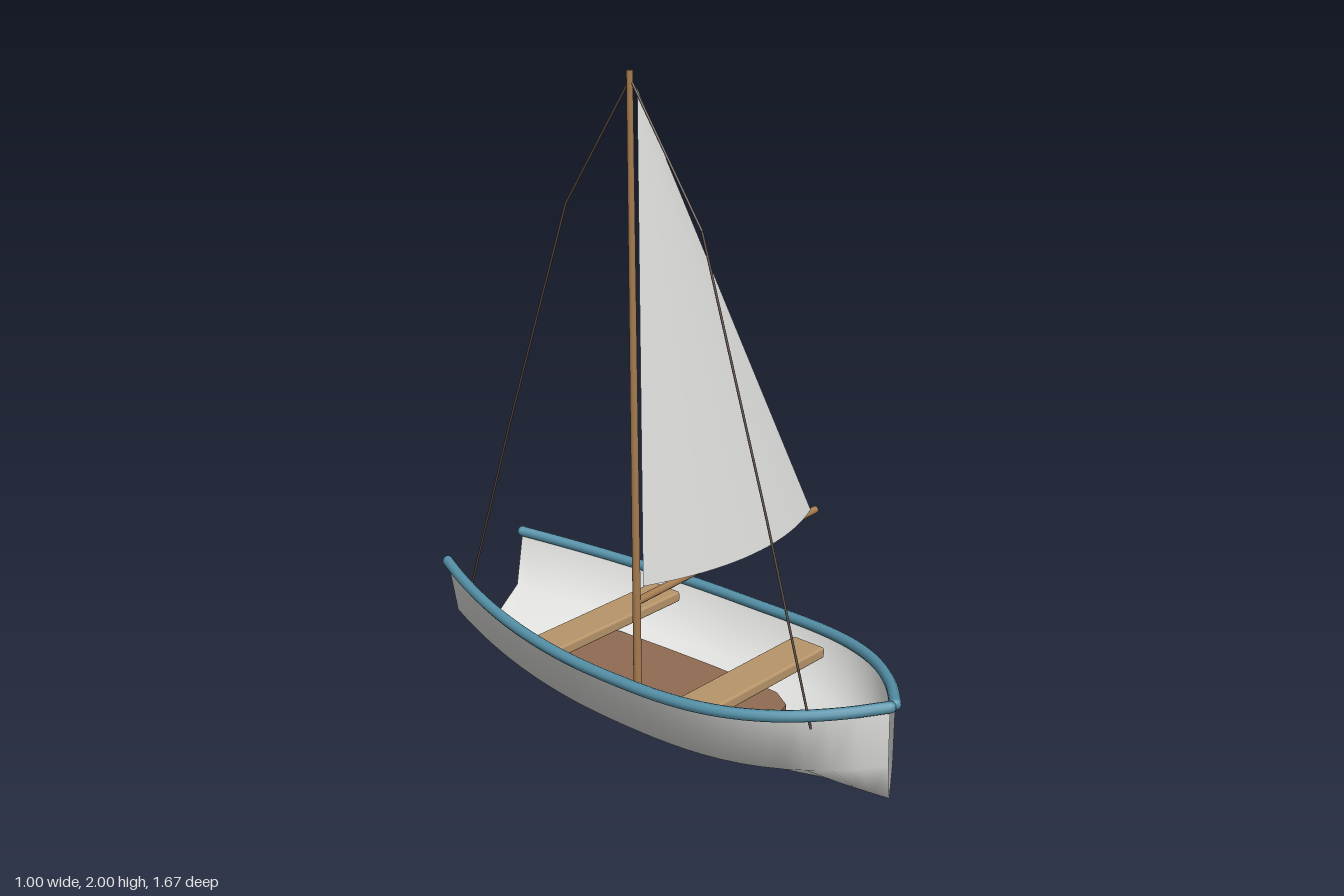
import * as THREE from 'three';
import { RoundedBoxGeometry } from 'three/addons/geometries/RoundedBoxGeometry.js';

const HULL_X = -0.16, LENGTH = 0.82;
const V = (x, y, z) => new THREE.Vector3(x, y, z);
// Sheer and keel rise alike towards both ends
const lift = z => 0.05 * (z / LENGTH) ** 2;
// Half width at the rim: pointed bow, broad stern
const halfWidth = z => z < 0
  ? 0.325 - 0.24 * z * z
  : 0.012 + 0.313 * (1 - (z / LENGTH) ** 3.4);

// Grid of points from f(u, v) as a smooth surface
function surface(nu, nv, f) {
  const pos = [], index = [];
  for (let i = 0; i <= nu; i++) {
    for (let j = 0; j <= nv; j++) {
      pos.push(...f(i / nu, j / nv));
      if (i < nu && j < nv) {
        const a = i * (nv + 1) + j, b = a + nv + 1;
        index.push(a, b, a + 1, b, b + 1, a + 1);
      }
    }
  }
  const g = new THREE.BufferGeometry();
  g.setAttribute('position', new THREE.Float32BufferAttribute(pos, 3));
  g.setIndex(index);
  g.computeVertexNormals();
  return g;
}

// Straight round pole between two points
function pole(a, b, r0, r1) {
  const d = b.clone().sub(a);
  const g = new THREE.CylinderGeometry(r1, r0, d.length(), 12);
  g.applyQuaternion(new THREE.Quaternion().setFromUnitVectors(V(0, 1, 0), d.normalize()));
  const m = a.clone().add(b).multiplyScalar(0.5);
  return g.translate(m.x, m.y, m.z);
}

export function createModel() {
  const group = new THREE.Group();
  const material = (name, color, side = THREE.FrontSide) =>
    new THREE.MeshStandardMaterial({ name, color, side });
  const hullWhite = material('hull white', 0xf0f0ee, THREE.DoubleSide);
  const sailCloth = material('sail cloth', 0xe8e8e6, THREE.DoubleSide);
  const rimBlue = material('rim blue', 0x5591a8);
  const benchWood = material('bench wood', 0xb8956a);
  const floorWood = material('floor wood', 0x916b52);
  const sparWood = material('spar wood', 0xa67c50);
  const rope = material('rope', 0x574a40);
  const add = (name, geometry, mat) => {
    const mesh = new THREE.Mesh(geometry, mat);
    mesh.name = name;
    group.add(mesh);
    return mesh;
  };

  // Open hull: rim, chine, keel, chine, rim swept along z
  const section = [[-1, 0.293], [-0.8, 0.11], [0, 0.005], [0.8, 0.11], [1, 0.293]];
  add('hull', surface(28, 4, (u, v) => {
    const z = (u * 2 - 1) * LENGTH;
    const [sx, y] = section[Math.round(v * 4)];
    return [HULL_X + sx * halfWidth(z), y + lift(z), z];
  }), hullWhite);

  // Gunwales with closed ends
  for (const s of [1, -1]) {
    const pts = [];
    for (let i = 0; i <= 20; i++) {
      const z = (i / 10 - 1) * LENGTH;
      pts.push(V(HULL_X + s * halfWidth(z), 0.293 + lift(z), z));
    }
    const name = s > 0 ? 'leftGunwale' : 'rightGunwale';
    add(name, new THREE.TubeGeometry(new THREE.CatmullRomCurve3(pts), 60, 0.017, 10), rimBlue);
    for (const p of [pts[0], pts[20]]) {
      add(name + 'End', new THREE.SphereGeometry(0.017, 10, 8), rimBlue).position.copy(p);
    }
  }

  // Floor board, half outline mirrored
  const half = [[0.115, -0.505], [0.138, -0.495], [0.165, -0.43], [0.178, -0.38], [0.188, -0.2],
    [0.195, 0], [0.195, 0.15], [0.191, 0.26], [0.15, 0.33], [0.12, 0.34]];
  const outline = [...half, ...half.map(([x, z]) => [-x, z]).reverse()];
  const floor = new THREE.ExtrudeGeometry(
    new THREE.Shape(outline.map(([x, z]) => new THREE.Vector2(x, z))),
    { depth: 0.025, bevelEnabled: false });
  floor.rotateX(Math.PI / 2).translate(HULL_X, 0.11, 0);
  add('floor', floor, floorWood);

  // Benches
  for (const [name, z, width] of [['aftBench', -0.263, 0.535], ['foreBench', 0.324, 0.525]]) {
    add(name, new RoundedBoxGeometry(width, 0.035, 0.118, 2, 0.008), benchWood)
      .position.set(HULL_X + 0.002, 0.257, z);
  }

  // Mast and boom
  add('mast', pole(V(-0.335, 0.1, 0.03), V(-0.335, 2, 0.03), 0.013, 0.009), sparWood);
  add('boom', pole(V(-0.335, 0.468, 0.03), V(0.5, 0.5, 0.03), 0.012, 0.012), sparWood);

  // Triangular sail, bellied forward towards the foot
  add('sail', surface(20, 20, (u, v) => [
    -0.312 + 0.78 * u * (1 - v),
    0.51 + 1.44 * v,
    0.035 + 0.36 * u * (1 - u) * (1 - v),
  ]), sailCloth);

  // Kinked stays fore and aft
  const stays = {
    foreStay: [[1.97, 0.035], [1.605, 0.283], [0.865, 0.51], [0.29, 0.675]],
    aftStay: [[1.97, 0.025], [1.605, -0.225], [0.865, -0.5], [0.29, -0.7]],
  };
  for (const [name, path] of Object.entries(stays)) {
    for (let i = 0; i < 3; i++) {
      const [a, b] = [path[i], path[i + 1]].map(([y, z]) => V(-0.333, y, z));
      add(name, pole(a, b, 0.0035, 0.0035), rope);
    }
  }
  return group;
}
